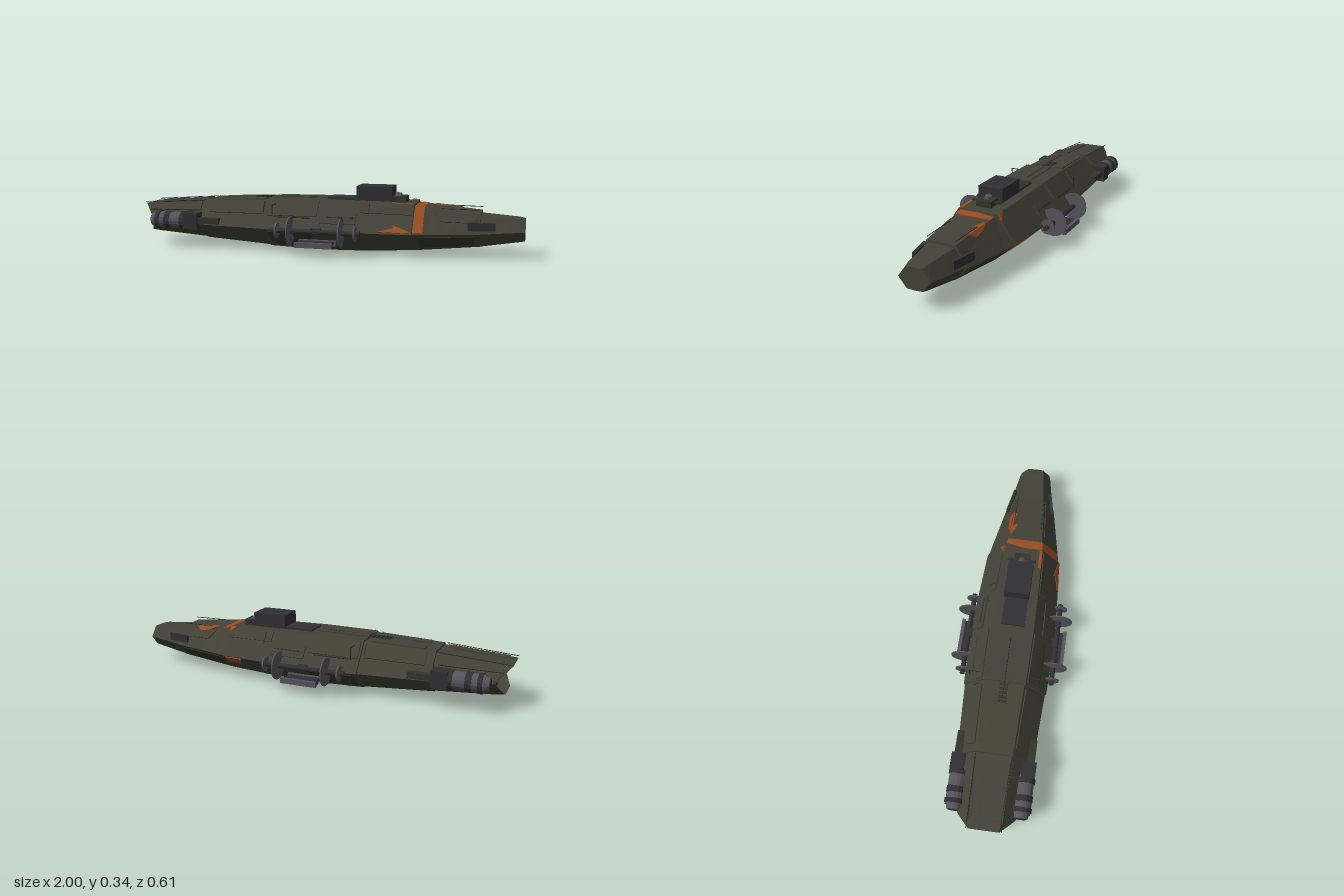
import * as THREE from 'three';

const mat = (name, color) => {
  const m = new THREE.MeshStandardMaterial({ color, flatShading: true, side: THREE.DoubleSide });
  m.name = name;
  return m;
};

// Hull stations: x, shoulder z, top y, chine z, chine y, belly corner z, belly corner y, keel y
const stations = [
  [-1, .075, .212, .14, .135, .07, .068, .062], [-.64, .085, .235, .182, .125, .08, .045, .038],
  [-.639, .09, .243, .19, .125, .083, .042, .036], [-.281, .1, .256, .208, .12, .09, .02, .012],
  [-.28, .106, .262, .214, .12, .092, .016, .008], [0, .11, .265, .222, .12, .095, .008, 0],
  [.2, .108, .262, .214, .12, .092, .012, .004], [.469, .1, .255, .198, .12, .085, .026, .02],
  [.47, .095, .247, .192, .12, .085, .026, .02], [.789, .072, .22, .128, .125, .062, .055, .05],
  [.79, .066, .207, .122, .125, .06, .056, .05], [.97, .046, .196, .088, .136, .045, .083, .08],
  [1, .04, .19, .08, .137, .04, .088, .086],
];

function section(x) {
  let i = 0;
  while (i < stations.length - 2 && x > stations[i + 1][0]) i++;
  const a = stations[i], b = stations[i + 1], t = (x - a[0]) / (b[0] - a[0]);
  const [, s, ty, w, cy, bz, by, ky] = a.map((v, k) => v + (b[k] - v) * t);
  return [[0, ty], [s, ty], [w, cy], [bz, by], [0, ky]];
}

// Point on a hull face (0 top, 1 flank, 2 lower flank, 3 belly), raised by d
function onHull(face, side, x, v, d) {
  const s = section(x), [az, ay] = s[face], [bz, by] = s[face + 1];
  const l = Math.hypot(bz - az, by - ay);
  return [x, ay + (by - ay) * v + (bz - az) / l * d, side * (az + (bz - az) * v - (by - ay) / l * d)];
}

function fromTriangles(pos) {
  const g = new THREE.BufferGeometry();
  g.setAttribute('position', new THREE.Float32BufferAttribute(pos, 3));
  g.computeVertexNormals();
  return g;
}

// Thin raised plate following a hull face, outlined by [x, v] points
function plateGeometry(face, side, outline, d) {
  let pts = outline.map(p => new THREE.Vector2(...p));
  if (THREE.ShapeUtils.isClockWise(pts)) pts.reverse();
  const up = pts.map(p => onHull(face, side, p.x, p.y, d));
  const down = pts.map(p => onHull(face, side, p.x, p.y, -.001));
  const out = [];
  const tri = (a, b, c) => side > 0 ? out.push(...a, ...c, ...b) : out.push(...a, ...b, ...c);
  for (const [a, b, c] of THREE.ShapeUtils.triangulateShape(pts, [])) tri(up[a], up[b], up[c]);
  up.forEach((p, i) => {
    const j = (i + 1) % up.length;
    tri(p, down[i], up[j]);
    tri(up[j], down[i], down[j]);
  });
  return fromTriangles(out);
}

function hullGeometry() {
  const rings = [], out = [];
  const ring = (x, stern) => {
    const h = section(x);
    const r = h.concat(h.slice(1, 4).reverse().map(([z, y]) => [-z, y]));
    // The stern edge is notched at the chines and shorter below
    const shift = [0, 0, .07, .03, .03, .03, .07, 0];
    return r.map(([z, y], i) => [x + (stern ? shift[i] : 0), y, z]);
  };
  stations.forEach((s, i) => {
    rings.push(ring(s[0], i === 0));
    const n = stations[i + 1];
    if (n && n[0] - s[0] > .05) for (let k = 1; k < 4; k++) rings.push(ring(s[0] + (n[0] - s[0]) * k / 4));
  });
  for (let i = 0; i < rings.length - 1; i++) for (let k = 0; k < 8; k++) {
    const a = rings[i][k], b = rings[i][(k + 1) % 8], c = rings[i + 1][k], d = rings[i + 1][(k + 1) % 8];
    out.push(...a, ...b, ...c, ...b, ...d, ...c);
  }
  const nose = rings.at(-1);
  for (let k = 0; k < 8; k++) out.push(1, .137, 0, ...nose[k], ...nose[(k + 1) % 8]);
  // Recessed stern bulkhead
  const back = rings[1];
  for (let k = 0; k < 8; k++) out.push(back[0][0], .135, 0, ...back[(k + 1) % 8], ...back[k]);
  return fromTriangles(out);
}

export function createModel() {
  const olive = mat('olive hull', 0x424237), darkOlive = mat('dark olive', 0x33342b);
  const dark = mat('dark metal', 0x303033), grey = mat('grey metal', 0x56545b), orange = mat('orange paint', 0x9c4d22);
  const model = new THREE.Group();

  const add = (name, geo, m, x = 0, y = 0, z = 0, parent = model) => {
    const mesh = new THREE.Mesh(geo, m);
    mesh.name = name;
    mesh.position.set(x, y, z);
    parent.add(mesh);
    return mesh;
  };
  const box = (name, m, w, h, d, x, y, z, parent) => add(name, new THREE.BoxGeometry(w, h, d), m, x, y, z, parent);
  const tube = (name, m, r1, r2, len, x, y, z, parent, n = 16) =>
    add(name, new THREE.CylinderGeometry(r1, r2, len, n).rotateZ(-Math.PI / 2), m, x, y, z, parent);
  const rod = (name, m, pts, r, parent) => {
    for (let i = 0; i < pts.length - 1; i++) {
      const a = new THREE.Vector3(...pts[i]), b = new THREE.Vector3(...pts[i + 1]);
      const c = add(name, new THREE.CylinderGeometry(r, r, a.distanceTo(b) + r, 6), m, 0, 0, 0, parent);
      c.position.copy(a).add(b).multiplyScalar(.5);
      c.quaternion.setFromUnitVectors(new THREE.Vector3(0, 1, 0), b.sub(a).normalize());
    }
  };
  const plate = (name, m, face, side, outline, d) => add(name, plateGeometry(face, side, outline, d), m);
  const rect = (a, b, v0, v1) => [[a, v0], [b, v0], [b, v1], [a, v1]];

  add('hull', hullGeometry(), olive);

  for (const side of [1, -1]) {
    // Armour plates
    plate('sternArmour', olive, 1, side, rect(-.96, -.66, .04, .42), .008);
    plate('rearArmour', olive, 1, side, rect(-.6, -.3, .08, .5), .006);
    plate('midArmour', olive, 1, side, rect(-.27, -.01, .05, .55), .006);
    plate('midArmour', olive, 1, side, rect(.01, .19, .4, .75), .006);
    plate('foreArmour', olive, 1, side, rect(.21, .46, .05, .36), .005);
    plate('noseArmour', olive, 1, side, [[.56, .1], [.78, .1], [.76, .5], [.6, .5]], .005);
    plate('lowerArmour', darkOlive, 2, side, rect(-.26, -.02, .12, .8), .004);
    plate('lowerArmour', darkOlive, 2, side, rect(.5, .76, .15, .8), .004);
    plate('deckPlate', olive, 0, side, rect(-.58, -.31, .35, .9), .005);
    plate('deckPlate', olive, 0, side, rect(-.95, -.67, .4, 1), .005);
    plate('flankGroove', dark, 1, side, rect(-.24, -.04, .57, .6), .003);
    plate('flankGroove', dark, 1, side, rect(.04, .18, .54, .57), .008);

    // Engine pod
    const pod = new THREE.Group();
    pod.name = 'enginePod';
    pod.position.set(0, .14, side * .165);
    model.add(pod);
    tube('engineBody', grey, .044, .044, .19, -.8, 0, 0, pod);
    for (const x of [-.875, -.735]) tube('engineRing', dark, .049, .049, .022, x, 0, 0, pod);
    tube('engineBand', dark, .047, .047, .03, -.82, 0, 0, pod);
    tube('engineBell', grey, .04, .034, .03, -.9, 0, 0, pod);
    tube('engineNozzle', dark, .026, .026, .01, -.914, 0, 0, pod);
    box('engineMount', dark, .08, .085, .07, -.685, .003, .01 * side, pod);
    box('engineFairing', darkOlive, .12, .03, .05, -.59, .005, .01 * side, pod);

    // Docking wheels and cradle
    const dock = new THREE.Group();
    dock.name = 'dockingWheels';
    dock.position.set(0, .12, side * .232);
    model.add(dock);
    tube('axle', dark, .013, .013, .45, 0, 0, 0, dock, 12);
    for (const x of [-.13, .13]) tube('largeWheel', grey, .072, .072, .006, x, 0, 0, dock, 20);
    for (const x of [-.2, .2]) tube('smallWheel', grey, .038, .038, .008, x, 0, 0, dock, 20);
    for (const z of [-.042, .042]) box('cradleBar', grey, .19, .026, .018, 0, -.06, z, dock);
    box('cradleBase', dark, .17, .01, .036, 0, -.07, 0, dock);
    box('cradlePlate', dark, .17, .012, .09, 0, -.056, 0, dock);
    box('wheelBracket', dark, .05, .03, .06, 0, 0, -.025 * side, dock);

    // Handrail loops
    rod('upperRail', dark, [[-.24, .24, side * .11], [-.24, .24, side * .185], [-.24, .185, side * .185]], .0025);
    rod('lowerRail', dark, [[-.24, .047, side * .1], [-.24, .047, side * .185], [-.24, .12, side * .185]], .0025);
    for (const x of [-.3, .25]) rod('antenna', dark, [[x, .2, side * .155], [x, .253, side * .125]], .002);

    // Thin edge blades and nose pods
    rod('noseBlade', dark, [[.6, .238, side * .075], [.79, .236, side * .07]], .002);
    rod('sternBlade', dark, [[-1, .218, side * .085], [-.65, .242, side * .09]], .002);
    const nosePod = box('nosePod', dark, .13, .04, .016, .795, .16, side * .11);
    nosePod.rotation.y = side * .2;
  }

  // Top turret, deck and sensor
  box('turretDeck', dark, .34, .012, .12, .19, .268, 0);
  box('turretBox', dark, .18, .07, .13, .26, .3, 0);
  box('sensorBase', darkOlive, .075, .03, .08, .382, .272, 0);
  box('sensorBar', dark, .012, .008, .15, .385, .276, 0);
  tube('sensorHead', grey, .016, .022, .03, .375, .285, 0, model, 8);
  for (let i = 0; i < 5; i++) box('deckRib', darkOlive, .012, .008, .04, -.38 + i * .022, .26, 0);
  box('spine', olive, .28, .006, .07, -.14, .265, 0);
  rod('deckRail', dark, [[-.36, .266, 0], [-.05, .27, 0]], .002);

  // Orange markings
  plate('deckStripe', orange, 0, 1, rect(.472, .52, 0, 1), .003);
  plate('deckStripe', orange, 0, -1, [[.472, 0], [.52, 0], [.52, 1], [.49, 1]], .003);
  plate('flankStripe', orange, 1, 1, rect(.472, .52, 0, .96), .003);
  plate('flankChevron', orange, 1, 1, [[.3, .94], [.38, .8], [.37, .7], [.45, .88], [.465, .96]], .003);
  plate('shoulderStripe', orange, 0, 1, rect(.36, .465, .85, 1), .003);
  plate('flankStripe', orange, 1, -1, [[.43, 0], [.468, 0], [.468, .2]], .007);
  plate('deckChevron', orange, 0, -1, [[.55, .85], [.62, .6], [.6, .9], [.69, .8], [.68, 1], [.56, 1]], .003);
  plate('flankChevron', orange, 1, -1, [[.56, 0], [.69, 0], [.66, .2], [.6, .12]], .007);
  plate('lowerMarking', orange, 2, -1, [[.36, .04], [.46, .04], [.465, .4], [.39, .45]], .004);
  return model;
}
